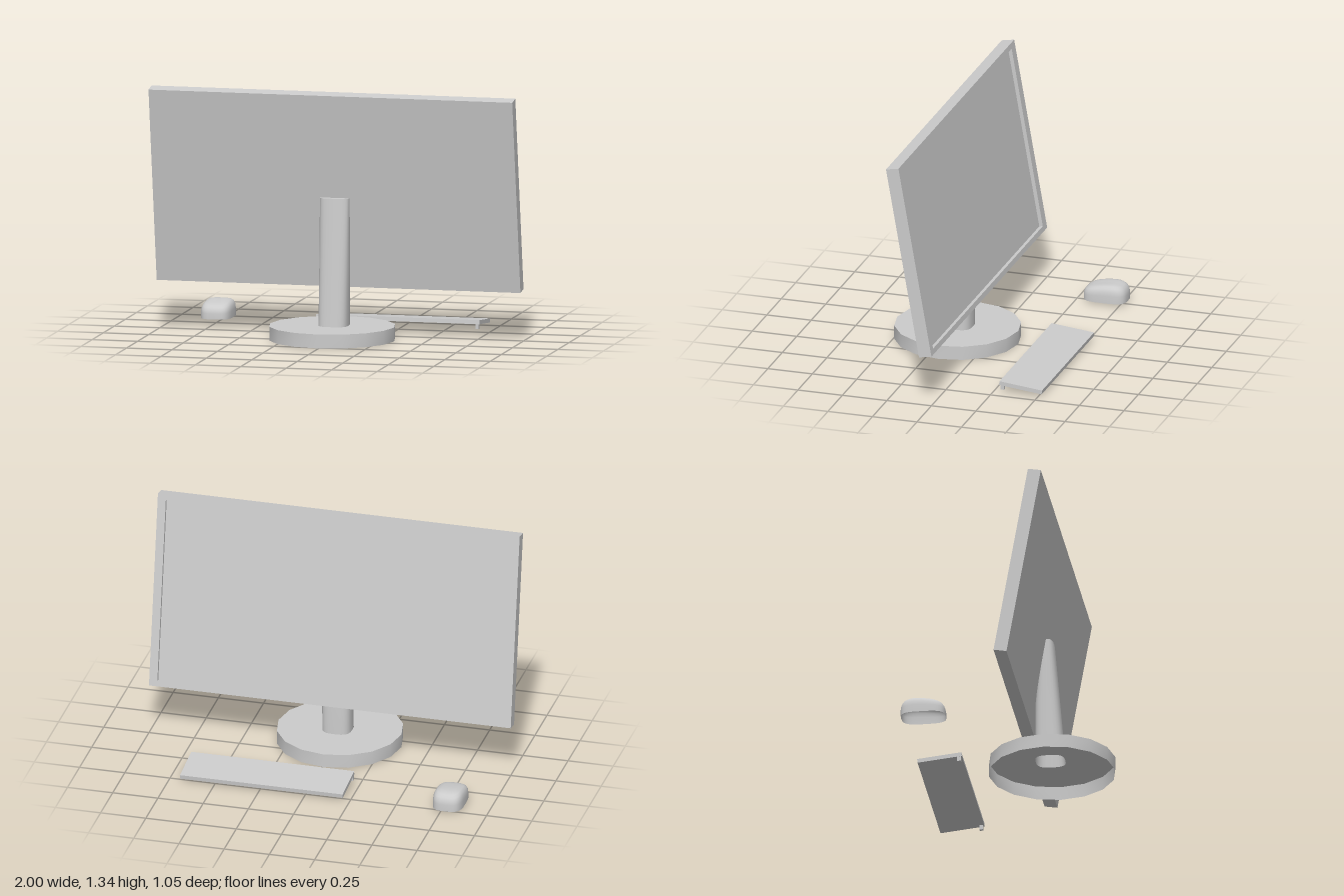
import * as THREE from 'three';
import { toCreasedNormals } from 'three/addons/utils/BufferGeometryUtils.js';

const grey = new THREE.MeshStandardMaterial({ color: 0xcccccc });
const greyThin = new THREE.MeshStandardMaterial({ color: 0xcccccc, side: THREE.DoubleSide });

function add(parent, name, geometry, material = grey, x = 0, y = 0, z = 0) {
  const mesh = new THREE.Mesh(geometry, material);
  mesh.name = name;
  mesh.position.set(x, y, z);
  parent.add(mesh);
  return mesh;
}

// Unit superellipse point: p = 2 is round, higher is squarer
function superPoint(i, n, p) {
  const a = (i / n) * Math.PI * 2;
  const f = (v) => Math.sign(v) * Math.pow(Math.abs(v), 2 / p);
  return [f(Math.cos(a)), f(Math.sin(a))];
}

// Skin over stacked rings with a closed top and an open bottom
function loft(rings, crease) {
  const n = rings[0].length, pos = [], index = [];
  rings.forEach((ring) => ring.forEach((p) => pos.push(...p)));
  for (let r = 0; r < rings.length - 1; r++) {
    for (let i = 0; i < n; i++) {
      const a = r * n + i, b = r * n + ((i + 1) % n);
      index.push(a, a + n, b, b, a + n, b + n);
    }
  }
  const last = rings[rings.length - 1], top = rings.length * n;
  pos.push(...[0, 1, 2].map((k) => last.reduce((s, p) => s + p[k], 0) / n));
  for (let i = 0; i < n; i++) index.push(top, top - n + ((i + 1) % n), top - n + i);
  const g = new THREE.BufferGeometry();
  g.setAttribute('position', new THREE.Float32BufferAttribute(pos, 3));
  g.setIndex(index);
  return toCreasedNormals(g, crease);
}

function rectPath(path, x0, y0, x1, y1) {
  path.moveTo(x0, y0);
  path.lineTo(x1, y0);
  path.lineTo(x1, y1);
  path.lineTo(x0, y1);
  path.closePath();
  return path;
}

// Tilted slab with a bezel around the sunken screen, which faces -z
function buildMonitor() {
  const g = new THREE.Group();
  g.name = 'monitor';
  const h = 1.071, t = 0.071, depth = 0.02;
  add(g, 'screenBody', new THREE.BoxGeometry(2, h, t - depth), grey, 0, 0, depth / 2);
  const shape = rectPath(new THREE.Shape(), -1, -h / 2, 1, h / 2);
  shape.holes.push(rectPath(new THREE.Path(), -0.94, -h / 2 + 0.03, 0.955, h / 2 - 0.03));
  add(g, 'bezel', new THREE.ExtrudeGeometry(shape, { depth, bevelEnabled: false }), grey, 0, 0, -t / 2);
  g.position.set(0, 0.8025, 0.1275);
  g.rotation.x = 0.174;
  return g;
}

// Hollow sixteen-sided foot and a tapering neck
function buildStand() {
  const g = new THREE.Group();
  g.name = 'stand';
  const r = 0.34, h = 0.075, n = 24;
  const wall = new THREE.CylinderGeometry(r, r, h, 16, 1, true);
  add(g, 'baseRim', toCreasedNormals(wall.toNonIndexed(), 0.5), greyThin, -0.008, h / 2, 0.18);

  const disc = new THREE.Shape();
  for (let i = 0; i < 16; i++) {
    const a = (i / 16) * Math.PI * 2;
    disc[i ? 'lineTo' : 'moveTo'](r * Math.cos(a), r * Math.sin(a));
  }
  disc.closePath();
  const hole = new THREE.Path();
  for (let i = 0; i < n; i++) {
    const [x, z] = superPoint(i, n, 3);
    hole[i ? 'lineTo' : 'moveTo'](0.008 + x * 0.08, 0.01 - z * 0.08);
  }
  hole.closePath();
  disc.holes.push(hole);
  add(g, 'baseTop', new THREE.ShapeGeometry(disc).rotateX(-Math.PI / 2), greyThin, -0.008, h, 0.18);

  // Neck levels: height, back z, front z
  const levels = [[h, 0.09, 0.25], [0.4, 0.092, 0.222], [0.76, 0.12, 0.19]];
  const rings = levels.map(([y, back, front]) => Array.from({ length: n }, (_, i) => {
    const [x, z] = superPoint(i, n, 3);
    return [x * 0.08, y, (back + front) / 2 + z * (front - back) / 2];
  }));
  add(g, 'neck', loft(rings, 0.9), greyThin);
  return g;
}

// Thin sloping board propped on two small feet
function buildKeyboard() {
  const g = new THREE.Group();
  g.name = 'keyboard';
  const board = add(g, 'keyboardBoard', new THREE.BoxGeometry(0.9, 0.022, 0.24), grey, 0.24, 0.0365, -0.4);
  board.rotation.x = -0.105;
  for (const x of [-0.2, 0.675]) {
    add(g, 'keyboardFoot', new THREE.BoxGeometry(0.018, 0.032, 0.02), grey, x, 0.027, -0.295);
  }
  return g;
}

// Rounded shell, open underneath, highest toward its -z end
function buildMouse() {
  const n = 32;
  const height = (z) => 0.094 - 0.026 * Math.pow(Math.max(0, (z + 0.45) / 0.16), 1.6)
    - 0.012 * Math.pow(Math.max(0, (-0.45 - z) / 0.08), 2);
  // Each ring: scale of the outline, share of the local height
  const profile = [[1, 0], [1, 0.45], [0.97, 0.68], [0.88, 0.86], [0.74, 0.96], [0.5, 1], [0.2, 1]];
  const rings = profile.map(([s, f]) => Array.from({ length: n }, (_, i) => {
    const [u, v] = superPoint(i, n, 3.4);
    const z = -0.408 + v * (0.12 - (1 - s) * 0.1);
    return [-0.777 + u * 0.083 * s, 0.01 + f * height(z), z];
  }));
  return loft(rings, 1.2);
}

export function createModel() {
  const model = new THREE.Group();
  model.name = 'desktopComputer';
  model.add(buildMonitor(), buildStand(), buildKeyboard());
  add(model, 'mouse', buildMouse(), greyThin);
  return model;
}
